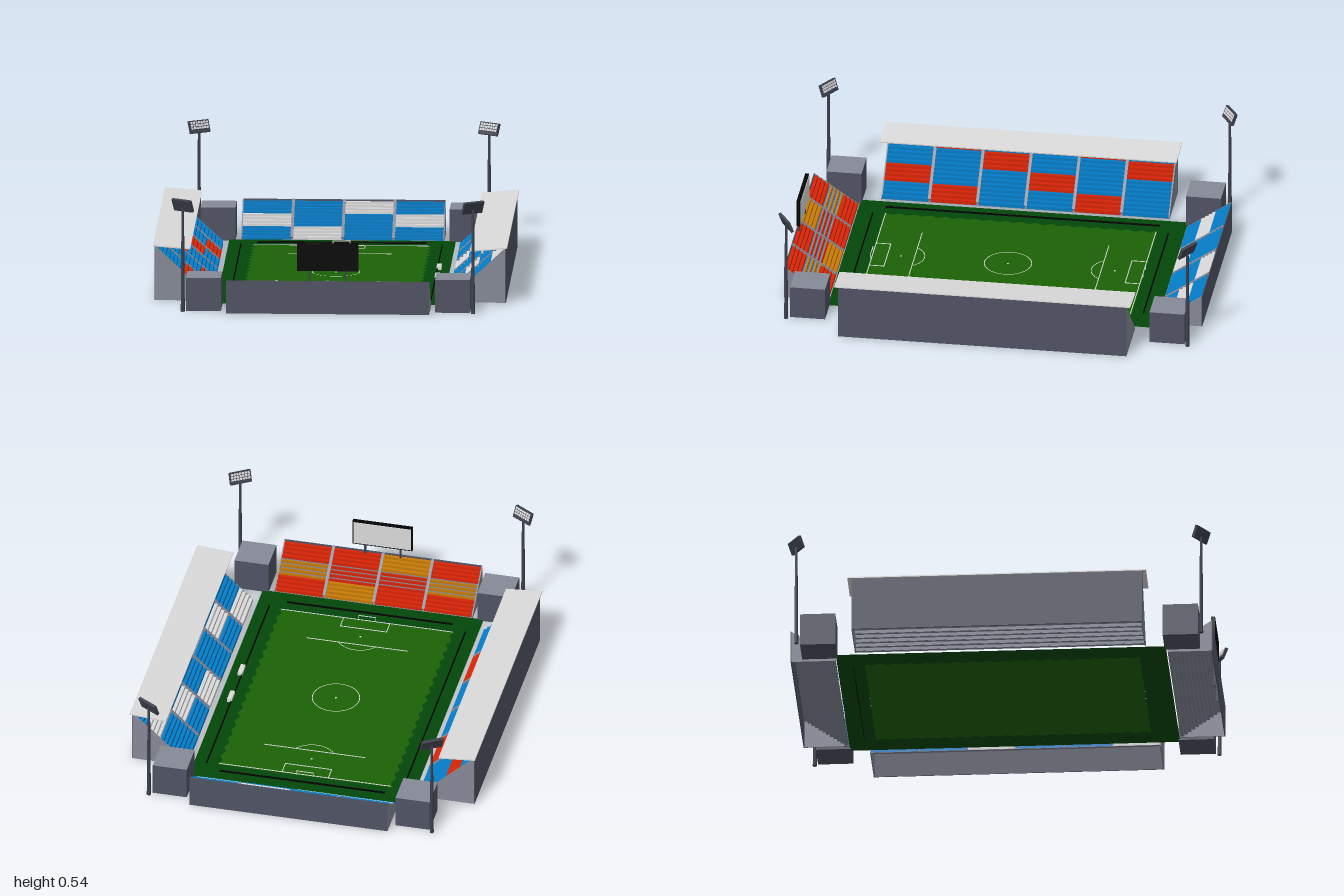
import * as THREE from 'three';
import { mergeGeometries } from 'three/addons/utils/BufferGeometryUtils.js';

const mat = (name, color, side = THREE.FrontSide) => {
  const m = new THREE.MeshStandardMaterial({ color, side });
  m.name = name;
  return m;
};

export function createModel() {
  const M = {
    concrete: mat('light concrete', 0x868a98, THREE.DoubleSide),
    slate: mat('dark wall', 0x505364),
    white: mat('white', 0xdadada),
    blue: mat('seat blue', 0x047cc8),
    red: mat('seat red', 0xd82406),
    orange: mat('seat orange', 0xc87a06),
    apron: mat('dark grass', 0x03480a, THREE.DoubleSide),
    grass: mat('grass', 0x1c6206, THREE.DoubleSide),
    black: mat('black', 0x040404),
    steel: mat('steel', 0x3e414e),
  };
  const root = new THREE.Group();
  root.name = 'stadium';

  const add = (parent, name, geo, material, x = 0, y = 0, z = 0) => {
    const m = new THREE.Mesh(geo, material);
    m.name = name;
    m.position.set(x, y, z);
    parent.add(m);
    return m;
  };
  const box = (w, h, d, x = 0, y = 0, z = 0) => new THREE.BoxGeometry(w, h, d).translate(x, y, z);
  const shape = (pts) => new THREE.Shape(pts.map((p) => new THREE.Vector2(...p)));

  // Grass: wavy-edged pitch inside a darker apron
  const edge = [];
  const N = 108;
  for (let i = 0; i <= N; i++) {
    edge.push(new THREE.Vector2(0.416 + 0.008 * Math.cos((i / N) * Math.PI * 36), -0.65 + (1.3 * i) / N));
  }
  const outline = [...edge, ...edge.map((p) => new THREE.Vector2(-p.x, p.y)).reverse()];
  const apron = shape([[-0.535, -0.78], [0.535, -0.78], [0.535, 0.78], [-0.535, 0.78]]);
  apron.holes.push(new THREE.Path(outline));
  const flat = (s) => new THREE.ShapeGeometry(s).rotateX(-Math.PI / 2);
  add(root, 'apron', flat(apron), M.apron, 0, 0.004);
  add(root, 'pitch', flat(new THREE.Shape(outline)), M.grass, 0, 0.004);

  // Pitch markings
  const T = 0.004, lines = [];
  const line = (w, d, x, z) => lines.push(box(w, 0.002, d, x, 0.006, z));
  const arc = (r, z, from, len) =>
    lines.push(new THREE.RingGeometry(r - T / 2, r + T / 2, 48, 1, from, len).rotateX(-Math.PI / 2).translate(0, 0.007, z));
  arc(0.112, 0, 0, Math.PI * 2);
  line(0.008, 0.008, 0, 0);
  const half = Math.acos(0.065 / 0.112);
  for (const s of [-1, 1]) {
    line(0.83, T, 0, s * 0.645);
    line(0.49, T, 0, s * 0.445);
    line(0.224, T, 0, s * 0.575);
    for (const k of [-1, 1]) line(T, 0.07, k * 0.112, s * 0.61);
    line(0.008, 0.008, 0, s * 0.51);
    arc(0.112, s * 0.51, s * Math.PI / 2 - half, half * 2);
  }
  add(root, 'pitchMarkings', mergeGeometries(lines), M.white);

  for (const s of [-1, 1]) {
    // Goals
    const bars = [box(0.084, 0.003, 0.003, 0, 0.026, 0)];
    for (const k of [-1, 1]) bars.push(box(0.003, 0.024, 0.003, k * 0.04, 0.014, 0));
    add(root, 'goal', mergeGeometries(bars), M.white, 0, 0, s * 0.65);
    // Perimeter boards
    add(root, 'sideBoard', box(0.005, 0.008, 1.31), M.black, s * 0.475, 0.008, 0);
    add(root, 'endBoard', box(0.8, 0.008, 0.005), M.black, 0, 0.008, s * 0.705);
    // Team benches
    add(root, 'bench', box(0.022, 0.018, 0.07), M.white, 0.483, 0.013, s * 0.11);
  }

  // A stand runs along local x and rises toward local +z; colourOf(column, band) picks the seats,
  // and seats in the walkway band are shallow so that the terrace shows behind them
  const stand = (name, o) => {
    const g = new THREE.Group();
    g.name = name;
    root.add(g);
    const { length, depth, height, cols, bands, seatTop } = o;
    const rows = bands * 4, slopeRun = depth - 0.004, run = slopeRun / rows, rise = seatTop / rows;
    const colW = length / cols;
    const seats = {}, steps = [];
    for (let r = 0; r < rows; r++) {
      const y = 0.003 + r * rise, z = r * run, band = Math.floor(r / 4);
      steps.push(box(length - 0.01, 0.002, run, 0, y, z + run / 2));
      steps.push(box(length - 0.01, rise, 0.002, 0, y + rise / 2, z + run));
      const d = band === o.walkway ? run * 0.3 : run * 0.96;
      for (let c = 0; c < cols; c++) {
        const x = -length / 2 + (c + 0.5) * colW;
        (seats[o.colourOf(c, band)] ??= []).push(box(colW - 0.01, rise * 1.2, d, x, y + 0.001 + rise * 0.6, z + d / 2));
      }
    }
    for (const key in seats) add(g, key + 'Seats', mergeGeometries(seats[key]), M[key]);
    add(g, 'terraces', mergeGeometries(steps), M.concrete);
    add(g, 'backWall', box(length, height, 0.004), M.slate, 0, height / 2, depth - 0.002);

    // Triangular end walls
    const tri = shape([[0, 0], [depth - 0.004, 0], [depth - 0.004, height], [0, 0.012]]);
    for (const s of [-1, 1]) {
      const wall = new THREE.ExtrudeGeometry(tri, { depth: 0.006, bevelEnabled: false });
      wall.rotateY(-Math.PI / 2).translate(0.003, 0, 0);
      add(g, 'endWall', wall, M.concrete, s * (length / 2 - 0.003), 0, 0);
    }
    // Stairways between seat blocks
    const slope = Math.atan2(seatTop, slopeRun);
    for (let c = 1; c < cols; c++) {
      const stair = box(0.014, 0.006, Math.hypot(seatTop, slopeRun)).rotateX(-slope);
      add(g, 'stairway', stair, M.concrete, -length / 2 + c * colW, seatTop / 2 + rise * 1.2, slopeRun / 2);
    }
    // Thin roof falling slightly toward the pitch
    if (o.roof) add(g, 'roof', box(1.412, 0.006, 0.176).rotateX(-0.08), M.white, 0, height - 0.004, depth - 0.082);
    return g;
  };

  const end = { length: 0.96, depth: 0.212, height: 0.158, cols: 4, bands: 3, seatTop: 0.144 };
  stand('frontStand', { ...end, walkway: 1, colourOf: (c, b) => ((c - b + 3) % 3 === 2 ? 'orange' : 'red') }).position.z = 0.785;
  const back = stand('backStand', { ...end, colourOf: (c, b) => ((3 - c + b) % 3 === 1 ? 'white' : 'blue') });
  back.rotation.y = Math.PI;
  back.position.z = -0.785;

  const side = { length: 1.375, depth: 0.27, height: 0.262, cols: 6, bands: 4, seatTop: 0.243, roof: true };
  const left = stand('leftStand', { ...side, colourOf: (c, b) => ((5 - c + b) % 3 === 2 ? 'white' : 'blue') });
  left.rotation.y = Math.PI / 2;
  left.position.x = 0.56;
  const right = stand('rightStand', { ...side, colourOf: (c, b) => ((c - b + 6) % 3 === 1 ? 'red' : 'blue') });
  right.rotation.y = -Math.PI / 2;
  right.position.x = -0.56;

  // Small lamps in rows on the upper part of each floodlight head
  const lamps = [];
  for (let i = 0; i < 7; i++) {
    for (let j = 0; j < 3; j++) lamps.push(box(0.011, 0.01, 0.002, (i - 3) * 0.0138, (j - 0.5) * 0.013, 0.008));
  }
  const lampGeo = mergeGeometries(lamps);

  // Corner blocks with pale tops, and floodlights
  const { slate, concrete } = M;
  for (const sx of [-1, 1]) {
    for (const sz of [-1, 1]) {
      add(root, 'cornerBlock', box(0.165, 0.158, 0.167), [slate, slate, concrete, slate, slate, slate], sx * 0.588, 0.079, sz * 0.857);
      const light = new THREE.Group();
      light.name = 'floodlight';
      light.position.set(sx * 0.685, 0, sz * 0.957);
      light.rotation.y = Math.atan2(-sx * 0.53, -sz * 0.85);
      root.add(light);
      add(light, 'mast', new THREE.CylinderGeometry(0.006, 0.01, 0.5, 8), M.steel, 0, 0.25, 0);
      const head = new THREE.Group();
      head.name = 'lampHead';
      head.position.set(0, 0.51, 0);
      head.rotation.x = -0.38;
      light.add(head);
      add(head, 'lampFrame', box(0.106, 0.06, 0.014), M.steel);
      add(head, 'lamps', lampGeo, M.white);
    }
  }

  // Scoreboard above the front stand, its screen facing the pitch
  add(root, 'scoreboard', box(0.29, 0.13, 0.018), M.black, 0, 0.27, 0.979);
  add(root, 'screen', box(0.278, 0.118, 0.003), M.white, 0, 0.27, 0.969);
  for (const s of [-1, 1]) add(root, 'scoreboardLeg', box(0.009, 0.21, 0.009), M.steel, s * 0.085, 0.105, 0.982);

  return root;
}
